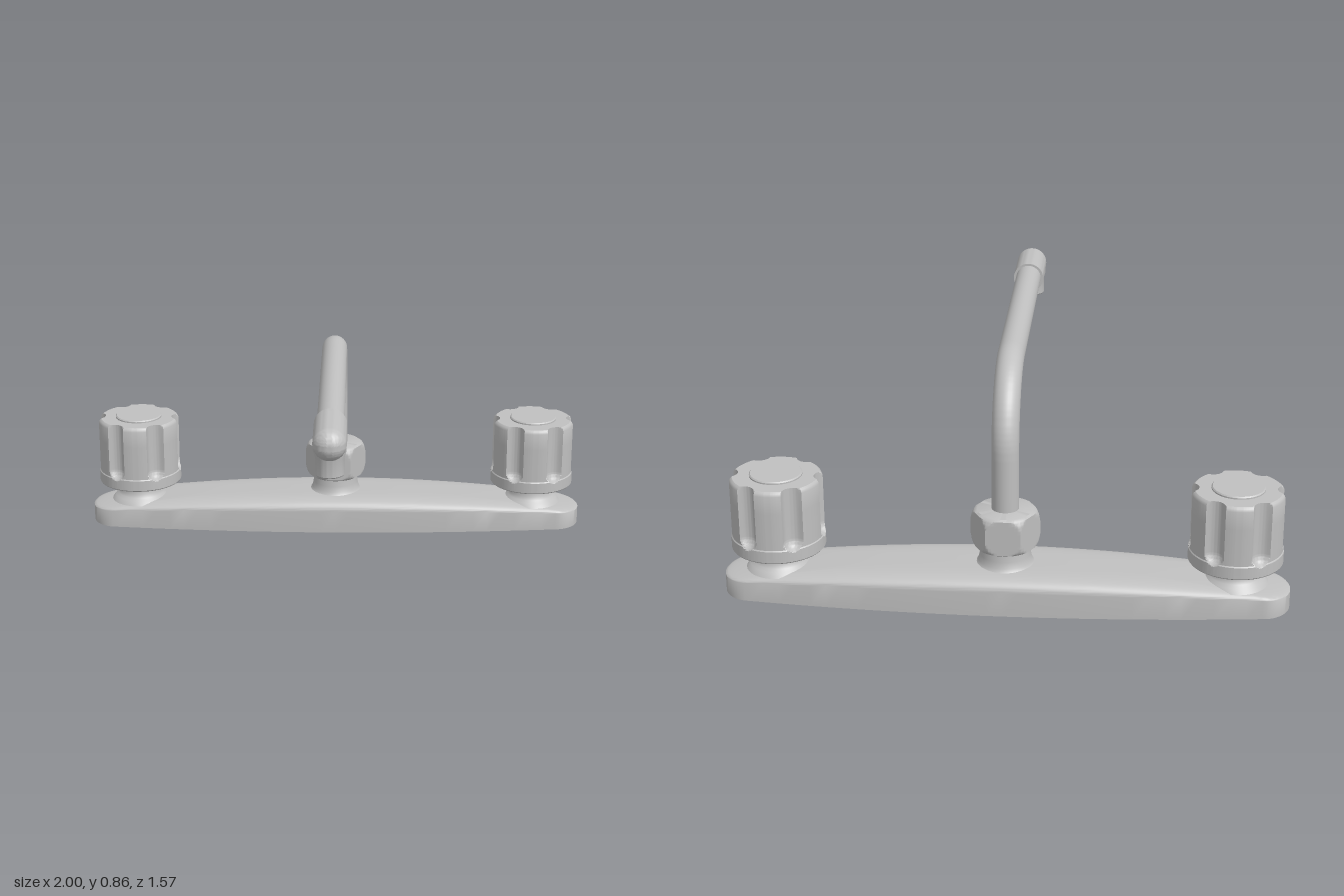
import * as THREE from 'three';
import { toCreasedNormals } from 'three/addons/utils/BufferGeometryUtils.js';

const Z = -0.62; // centre line of the deck plate

// Skin a stack of closed rings (bottom to top, counter-clockwise from above) and cap both ends.
function loft(rings, crease = 0.6) {
  const n = rings[0].length, pos = [], index = [];
  rings.forEach(r => r.forEach(p => pos.push(...p)));
  const centre = ring => {
    const c = [0, 1, 2].map(k => ring.reduce((s, p) => s + p[k], 0) / n);
    pos.push(...c);
    return pos.length / 3 - 1;
  };
  const last = (rings.length - 1) * n;
  const lo = centre(rings[0]), hi = centre(rings[rings.length - 1]);
  for (let j = 0; j < n; j++) {
    const k = (j + 1) % n;
    for (let i = 0; i < rings.length - 1; i++) {
      const a = i * n + j, b = i * n + k;
      index.push(a, b, b + n, a, b + n, a + n);
    }
    index.push(lo, k, j, hi, last + j, last + k);
  }
  const g = new THREE.BufferGeometry();
  g.setAttribute('position', new THREE.Float32BufferAttribute(pos, 3));
  g.setIndex(index);
  return toCreasedNormals(g, crease);
}

// Upright solid whose radius depends on angle and height.
function radialSolid(heights, radius, n) {
  return loft(heights.map(y => Array.from({ length: n }, (_, j) => {
    const a = j / n * Math.PI * 2, r = radius(a, y);
    return [r * Math.cos(a), y, -r * Math.sin(a)];
  })));
}

function lathe(points, segments = 48) {
  const g = new THREE.LatheGeometry(points.map(p => new THREE.Vector2(...p)), segments);
  return toCreasedNormals(g, 0.6);
}

// Angle from the nearest of six evenly spaced directions.
const fromSixth = (a, offset = 0) => {
  const s = Math.PI / 3;
  return (a - offset) - Math.round((a - offset) / s) * s;
};

const range = (a, b, n) => Array.from({ length: n + 1 }, (_, i) => a + (b - a) * i / n);

function deckPlateGeometry() {
  const half = x => 0.165 - 0.06 * x * x;
  const outline = [];
  for (const side of [1, -1]) {
    // rounded end, then the long bowed edge
    for (const t of range(-Math.PI / 2, Math.PI / 2, 24)) {
      outline.push([side * (0.9 + 0.1 * Math.cos(t)), -side * half(0.9) * Math.sin(t)]);
    }
    for (const x of range(0.9, -0.9, 32).slice(1, -1)) outline.push([side * x, -side * half(x)]);
  }
  const ring = (s, height) => outline.map(([x, z]) => [x * s, height(x * s, s), z * s]);
  const crown = (x, s) => {
    const wall = 0.09 - 0.025 * x * x, top = 0.138 - 0.05 * x * x;
    return wall + (top - wall) * Math.sqrt(1 - s ** 5);
  };
  const scales = [1, 0.997, 0.99, 0.98, 0.965, 0.945, 0.92, 0.88, 0.83, 0.75, 0.65, 0.5, 0.35, 0.2, 0.05];
  return loft([ring(1, () => 0), ...scales.map(s => ring(s, crown))], 0.7);
}

// Knob with six round-bottomed flutes and a wider skirt.
function knobGeometry() {
  const heights = [0.172, 0.176, 0.205, ...range(0.21, 0.25, 10), 0.3, 0.36, 0.426, 0.436, 0.441];
  const flute = 0.038, centre = 0.172, startY = 0.25;
  return radialSolid(heights, (a, y) => {
    let r = y < 0.174 ? 0.163 : y < 0.222 ? 0.166 : 0.163;
    if (y > 0.43) r -= y > 0.44 ? 0.011 : 0.004;
    const dy = Math.max(0, startY - y);
    const size2 = flute * flute - dy * dy;
    const across = centre * Math.sin(fromSixth(a));
    const root = size2 - across * across;
    if (root > 0) r = Math.min(r, centre * Math.cos(fromSixth(a)) - Math.sqrt(root));
    return r;
  }, 216);
}

// Hexagonal nut with rounded chamfers above and below.
function nutGeometry() {
  return radialSolid(range(0.198, 0.338, 24), (a, y) => {
    const hex = 0.106 / Math.cos(fromSixth(a, Math.PI / 6));
    const t = Math.max(0, Math.abs(y - 0.268) - 0.012) / 0.058;
    return Math.min(hex, 0.098 + 0.025 * Math.sqrt(Math.max(0, 1 - t * t)));
  }, 144);
}

export function createModel() {
  const model = new THREE.Group();
  model.name = 'kitchenFaucet';
  const metal = new THREE.MeshStandardMaterial({ color: 0xc0c0c0 });
  metal.name = 'satin metal';
  const add = (name, geometry, x = 0, y = 0, z = Z, parent = model) => {
    const mesh = new THREE.Mesh(geometry, metal);
    mesh.name = name;
    mesh.position.set(x, y, z);
    parent.add(mesh);
    return mesh;
  };

  add('deckPlate', deckPlateGeometry());

  // Handles
  const stem = lathe([[0.118, 0.09], [0.104, 0.108], [0.092, 0.116], [0.085, 0.128], [0.083, 0.145], [0.083, 0.18]]);
  const knob = knobGeometry();
  const cap = lathe([[0.093, 0.435], [0.093, 0.446], [0.089, 0.45], [0, 0.45]]);
  for (const side of [1, -1]) {
    const handle = new THREE.Group();
    handle.name = side > 0 ? 'leftHandle' : 'rightHandle';
    handle.position.set(side * 0.804, 0, Z);
    model.add(handle);
    add('handleStem', stem, 0, 0, 0, handle);
    add('handleKnob', knob, 0, 0, 0, handle);
    add('handleCap', cap, 0, 0, 0, handle);
  }

  // Spout base and nut
  add('spoutCollar', lathe([[0.115, 0.125], [0.102, 0.136], [0.095, 0.148], [0.09, 0.17], [0.088, 0.205]]));
  add('spoutNut', nutGeometry());

  // Bent spout pipe: rise, quarter bend, long reach
  const bend = 0.275, pipeY = 0.808, rearZ = -0.615;
  const points = [new THREE.Vector3(0, 0.3, rearZ)];
  for (const t of range(0, Math.PI / 2, 20)) {
    points.push(new THREE.Vector3(0, pipeY - bend + bend * Math.sin(t), rearZ + bend - bend * Math.cos(t)));
  }
  points.push(new THREE.Vector3(0, pipeY, 0), new THREE.Vector3(0, pipeY, 0.56));
  const path = new THREE.CurvePath();
  for (let i = 1; i < points.length; i++) path.add(new THREE.LineCurve3(points[i - 1], points[i]));
  add('spoutPipe', new THREE.TubeGeometry(path, 160, 0.048, 32), 0, 0, 0);

  // Sleeve with a domed end
  const dome = range(0, Math.PI / 2, 12).map(t => [0.058 * Math.cos(t), 0.725 + 0.058 * Math.sin(t)]);
  const sleeve = lathe([[0.046, 0.525], [0.058, 0.525], ...dome]);
  sleeve.rotateX(Math.PI / 2);
  add('spoutTip', sleeve, 0, 0.806, 0);

  // Downward outlet with a recessed mouth
  add('spoutOutlet', lathe([
    [0, 0.712], [0.034, 0.712], [0.036, 0.69], [0.047, 0.69], [0.05, 0.694], [0.05, 0.752], [0.057, 0.775], [0.057, 0.8],
  ]), 0, 0, 0.702);

  return model;
}
